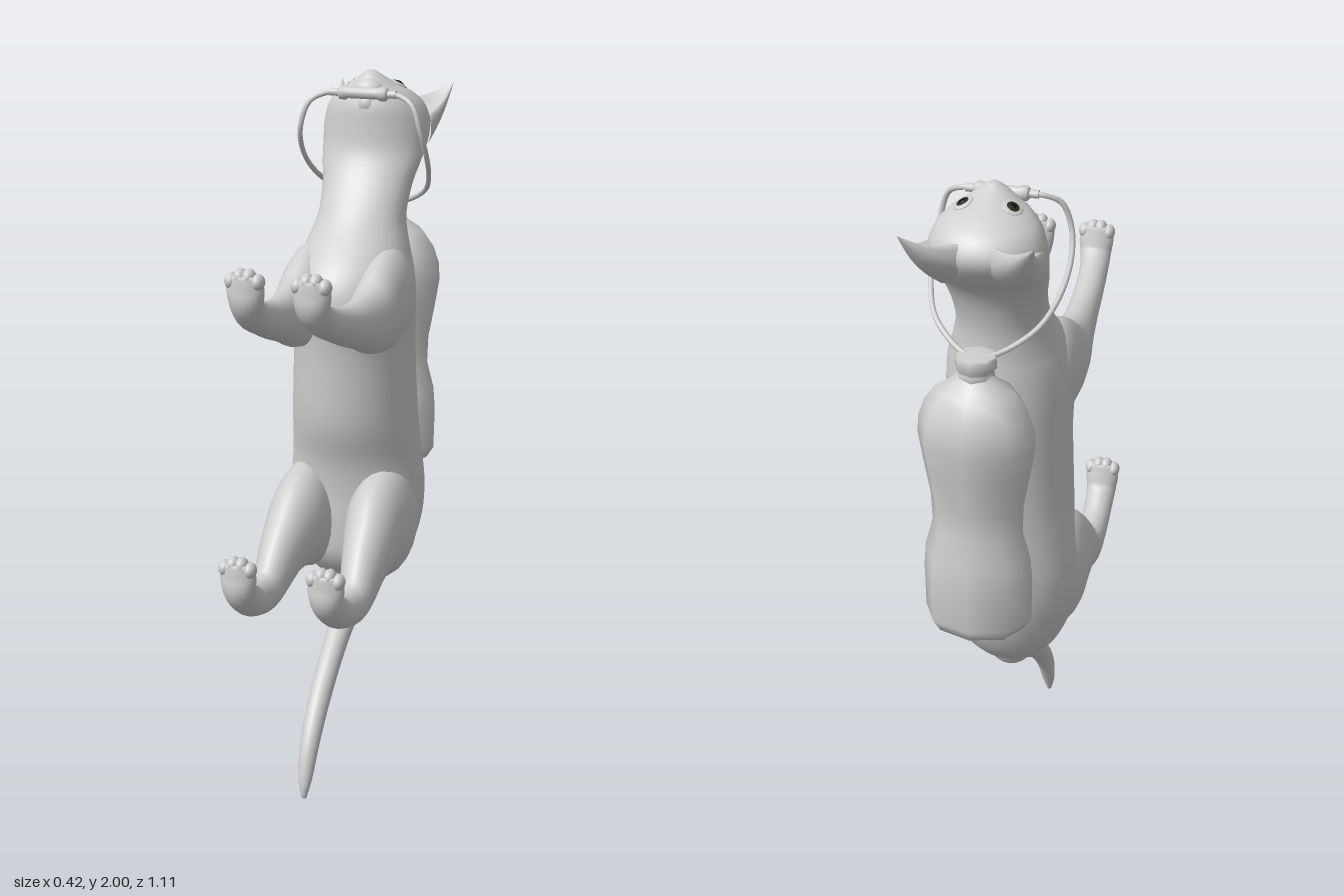
import * as THREE from 'three';

const mat = (name, color, side = THREE.FrontSide) => {
  const m = new THREE.MeshStandardMaterial({ color, side });
  m.name = name;
  return m;
};

// Smooth skin through elliptical sections [x, y, z, halfWidth, halfDepth].
// Sections turn with the path in the YZ plane, or stay horizontal when level is set.
function loft(sections, sides = 24, level = false) {
  const path = new THREE.CatmullRomCurve3(sections.map(s => new THREE.Vector3(s[0], s[1], s[2])), false, 'catmullrom');
  const size = new THREE.CatmullRomCurve3(sections.map(s => new THREE.Vector3(s[3], s[4], 0)), false, 'catmullrom');
  const steps = (sections.length - 1) * 4;
  const pos = [], idx = [];
  for (let i = 0; i <= steps; i++) {
    const t = i / steps, c = path.getPoint(t), r = size.getPoint(t);
    const d = level ? new THREE.Vector3(0, 1, 0) : path.getTangent(t);
    const len = Math.hypot(d.y, d.z) || 1;
    for (let k = 0; k < sides; k++) {
      const a = k / sides * Math.PI * 2, n = Math.sin(a) * r.y / len;
      pos.push(c.x + Math.cos(a) * r.x, c.y + n * d.z, c.z - n * d.y);
      if (i < steps) {
        const p = i * sides + k, q = i * sides + (k + 1) % sides;
        idx.push(p, q, p + sides, q, q + sides, p + sides);
      }
    }
  }
  // Close both ends
  const first = pos.length / 3, last = steps * sides;
  for (const t of [0, 1]) pos.push(...path.getPoint(t).toArray());
  for (let k = 0; k < sides; k++) {
    const n = (k + 1) % sides;
    idx.push(first, n, k, first + 1, last + k, last + n);
  }
  return finish(pos, idx);
}

function finish(pos, idx) {
  const g = new THREE.BufferGeometry();
  g.setAttribute('position', new THREE.Float32BufferAttribute(pos, 3));
  g.setIndex(idx);
  g.computeVertexNormals();
  return g;
}

// Pointed ear: a closed base loop, dented on the open side, shrinking to the tip
function earGeometry(s) {
  const base = new THREE.CatmullRomCurve3([
    [0.03, 1.895, -0.41], [0.10, 1.862, -0.39], [0.15, 1.86, -0.335],
    [0.142, 1.785, -0.355], [0.10, 1.765, -0.38], [0.035, 1.83, -0.425],
  ].map(p => new THREE.Vector3(p[0] * s, p[1], p[2])), true);
  const tip = new THREE.Vector3(0.172 * s, 1.937, -0.507);
  const rows = 7, sides = 18, pos = [], idx = [];
  for (let i = 0; i <= rows; i++) {
    const t = i / rows, bow = Math.sin(Math.PI * t);
    for (let k = 0; k < sides; k++) {
      const p = base.getPoint(k / sides).lerp(tip, t);
      pos.push(p.x, p.y - 0.012 * bow, p.z - 0.012 * bow);
      if (i < rows) {
        const a = i * sides + k, b = i * sides + (k + 1) % sides;
        idx.push(a, b, a + sides, b, b + sides, a + sides);
      }
    }
  }
  return finish(pos, idx);
}

export function createModel() {
  const group = new THREE.Group();
  const grey = mat('lightGrey', 0xcecece);
  const greyThin = mat('lightGreyThin', 0xcecece, THREE.DoubleSide);
  const olive = mat('darkOlive', 0x2b2a13);
  const black = mat('black', 0x0c0c08);
  const add = (name, geo, material = grey, x = 0, y = 0, z = 0) => {
    const m = new THREE.Mesh(geo, material);
    m.name = name;
    m.position.set(x, y, z);
    group.add(m);
    return m;
  };

  // Torso, neck and upturned head in one skin
  const body = add('bodyAndHead', loft([
    [0, 0.478, -0.13, 0.03, 0.03],
    [0, 0.50, -0.13, 0.08, 0.06],
    [0, 0.55, -0.125, 0.135, 0.105],
    [0, 0.62, -0.12, 0.172, 0.145],
    [0, 0.72, -0.13, 0.197, 0.165],
    [0, 0.82, -0.137, 0.20, 0.173],
    [0, 0.92, -0.132, 0.19, 0.182],
    [0, 1.05, -0.112, 0.18, 0.20],
    [0, 1.25, -0.105, 0.172, 0.205],
    [0, 1.38, -0.092, 0.176, 0.21],
    [0, 1.46, -0.098, 0.168, 0.197],
    [0, 1.52, -0.12, 0.15, 0.17],
    [0, 1.60, -0.167, 0.127, 0.127],
    [0, 1.68, -0.214, 0.13, 0.104],
    [0, 1.74, -0.252, 0.143, 0.102],
    [0, 1.79, -0.288, 0.152, 0.118],
    [0, 1.85, -0.31, 0.154, 0.133],
    [0, 1.90, -0.303, 0.138, 0.122],
    [0, 1.935, -0.286, 0.107, 0.094],
    [0, 1.96, -0.268, 0.068, 0.064],
    [0, 1.983, -0.253, 0.036, 0.034],
    [0, 1.999, -0.25, 0.012, 0.012],
  ], 32, true));
  const ball = r => new THREE.SphereGeometry(r, 16, 12);
  add('chin', ball(0.036), grey, 0, 1.91, -0.215);
  add('muzzle', ball(0.036), grey, 0, 1.946, -0.228).scale.set(1.35, 1, 1);
  body.updateMatrixWorld();

  for (const s of [1, -1]) {
    const side = s > 0 ? 'left' : 'right';
    add(side + 'Ear', earGeometry(s), greyThin);

    // Eyes, set onto the surface of the face
    const hit = new THREE.Raycaster(new THREE.Vector3(s * 0.064, 3, -0.305), new THREE.Vector3(0, -1, 0))
      .intersectObject(body)[0];
    const turn = new THREE.Quaternion().setFromUnitVectors(new THREE.Vector3(0, 1, 0), hit.face.normal);
    for (const [part, r, h, m] of [['EyeRim', 0.028, 0.0055, grey], ['Eye', 0.021, 0.0075, olive], ['Pupil', 0.013, 0.009, black]]) {
      const eye = add(side + part, ball(1), m);
      eye.position.copy(hit.point);
      eye.quaternion.copy(turn);
      eye.scale.set(r, h, r);
    }

    // Front leg from shoulder to raised paw
    add(side + 'FrontLeg', loft([
      [s * 0.07, 1.43, -0.25, 0.02, 0.02],
      [s * 0.09, 1.425, -0.19, 0.055, 0.075],
      [s * 0.108, 1.41, -0.10, 0.074, 0.135],
      [s * 0.11, 1.385, 0.0, 0.076, 0.135],
      [s * 0.111, 1.372, 0.10, 0.066, 0.10],
      [s * 0.108, 1.385, 0.20, 0.053, 0.07],
      [s * 0.104, 1.405, 0.30, 0.045, 0.054],
      [s * 0.10, 1.438, 0.40, 0.042, 0.045],
      [s * 0.095, 1.468, 0.47, 0.042, 0.043],
      [s * 0.09, 1.505, 0.512, 0.046, 0.038],
      [s * 0.09, 1.545, 0.52, 0.051, 0.031],
      [s * 0.09, 1.583, 0.523, 0.044, 0.024],
    ]));

    // Hind leg from thigh to raised paw
    add(side + 'HindLeg', loft([
      [s * 0.08, 0.72, -0.25, 0.02, 0.03],
      [s * 0.10, 0.722, -0.18, 0.07, 0.095],
      [s * 0.118, 0.727, -0.07, 0.087, 0.16],
      [s * 0.115, 0.73, 0.04, 0.09, 0.155],
      [s * 0.123, 0.687, 0.17, 0.068, 0.097],
      [s * 0.13, 0.613, 0.29, 0.047, 0.06],
      [s * 0.128, 0.625, 0.40, 0.043, 0.046],
      [s * 0.126, 0.662, 0.47, 0.043, 0.045],
      [s * 0.125, 0.702, 0.513, 0.046, 0.04],
      [s * 0.125, 0.745, 0.52, 0.051, 0.031],
      [s * 0.125, 0.785, 0.523, 0.044, 0.024],
    ]));

    // Toes
    for (const [name, x, y] of [['Front', 0.09, 1.57], ['Hind', 0.125, 0.772]]) {
      for (let i = 0; i < 4; i++) {
        const toe = add(side + name + 'Toe', ball(0.018), grey,
          s * x + (i - 1.5) * 0.024, y + (i % 3 ? 0.008 : -0.004), 0.523);
        toe.scale.set(1, 1.25, 1.35);
      }
    }

    // Drinking hose looping from the mouth to the bottle
    const hose = new THREE.CatmullRomCurve3([
      [0.07, 1.945, -0.175], [0.105, 1.943, -0.17], [0.15, 1.92, -0.15], [0.176, 1.85, -0.145],
      [0.184, 1.78, -0.18], [0.174, 1.71, -0.245], [0.14, 1.65, -0.325], [0.07, 1.605, -0.39], [0.01, 1.59, -0.43],
    ].map(p => new THREE.Vector3(p[0] * s, p[1], p[2])));
    add(side + 'Hose', new THREE.TubeGeometry(hose, 48, 0.0075, 8));
    const joint = add(side + 'HoseJoint', new THREE.CylinderGeometry(0.011, 0.011, 0.03, 12), grey, s * 0.082, 1.945, -0.174);
    joint.rotation.z = Math.PI / 2;
  }

  // Mouthpiece held between the jaws
  const bite = [[0, -0.073], [0.013, -0.073], [0.02, -0.067], [0.02, -0.05], [0.016, -0.045],
    [0.016, 0.045], [0.02, 0.05], [0.02, 0.067], [0.013, 0.073], [0, 0.073]];
  add('mouthpiece', new THREE.LatheGeometry(bite.map(p => new THREE.Vector2(...p)), 16), grey, 0, 1.945, -0.175)
    .rotation.z = -Math.PI / 2;

  // Tail
  add('tail', loft([
    [0, 0.57, -0.15, 0.05, 0.03],
    [0, 0.505, -0.125, 0.06, 0.05],
    [0, 0.452, -0.07, 0.045, 0.042],
    [0, 0.375, 0.06, 0.035, 0.036],
    [0, 0.27, 0.20, 0.032, 0.034],
    [0, 0.16, 0.298, 0.028, 0.029],
    [0, 0.06, 0.346, 0.02, 0.02],
    [0, 0.003, 0.36, 0.007, 0.007],
  ], 20));

  // Eight-sided water bottle on the back, broader than it is deep
  const profile = [[0, 0.805], [0.06, 0.785], [0.095, 0.79], [0.112, 0.825], [0.114, 0.95], [0.11, 1.02],
    [0.094, 1.10], [0.096, 1.18], [0.11, 1.28], [0.12, 1.36], [0.118, 1.41], [0.105, 1.46], [0.08, 1.505], [0.05, 1.53], [0.036, 1.55]];
  add('bottle', new THREE.LatheGeometry(profile.map(p => new THREE.Vector2(...p)), 8), grey, 0, 0, -0.432)
    .scale.x = 1.33;
  const cap = [[0, 1.535], [0.046, 1.535], [0.05, 1.54], [0.05, 1.555], [0.046, 1.56], [0.056, 1.57], [0.056, 1.594], [0.05, 1.6], [0, 1.6]];
  add('bottleCap', new THREE.LatheGeometry(cap.map(p => new THREE.Vector2(...p)), 8), grey, 0, 0, -0.425);

  return group;
}
